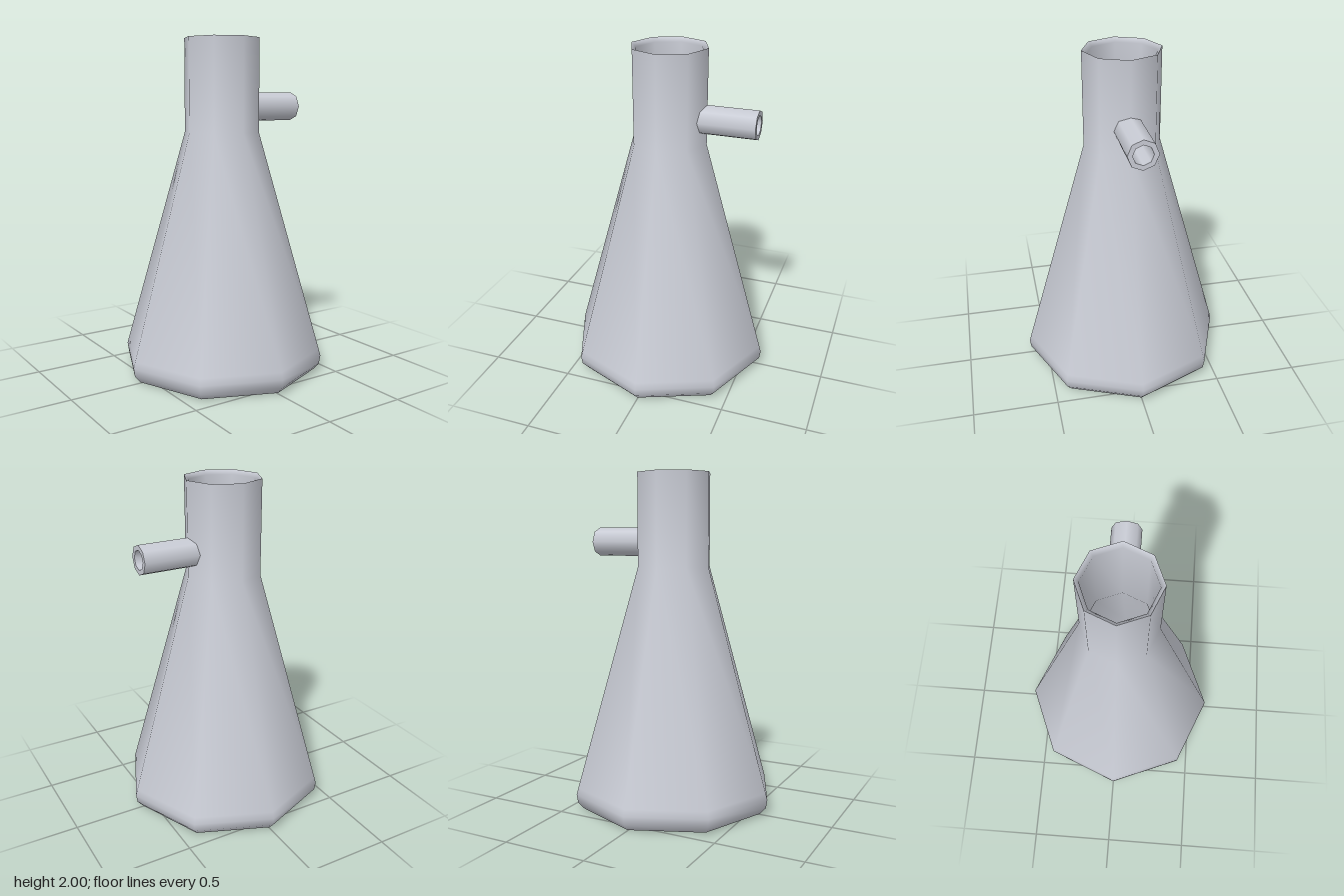
import * as THREE from 'three';
import { mergeGeometries } from 'three/addons/utils/BufferGeometryUtils.js';

const SIDES = 8;

// Revolves each profile smoothly; edges between profiles stay sharp.
function turned(...profiles) {
  return mergeGeometries(profiles.map((p) =>
    new THREE.LatheGeometry(p.map(([r, y]) => new THREE.Vector2(r, y)), SIDES)));
}

export function createModel() {
  const model = new THREE.Group();
  model.name = 'filterFlask';
  const glass = new THREE.MeshStandardMaterial({ color: 0xcacdd6 });
  glass.name = 'greyGlass';

  const add = (name, geometry) => {
    const mesh = new THREE.Mesh(geometry, glass);
    mesh.name = name;
    model.add(mesh);
  };

  // Outer wall: recessed underside, rounded foot, cone and neck
  add('outerWall', turned([
    [0, 0.1], [0.44, 0.1], [0.48, 0.03], [0.52, 0.005],
    [0.57, 0.01], [0.605, 0.05], [0.613, 0.1], [0.602, 0.14],
    [0.225, 1.45], [0.225, 2],
  ]));

  // Inner wall: bevelled mouth, neck, cone and floor
  add('innerWall', turned([
    [0.225, 2], [0.2, 1.975], [0.2, 1.45], [0.57, 0.16], [0.55, 0.13],
    [0.48, 0.125], [0, 0.125],
  ]));

  // Hollow side arm, its root cut to follow the faceted neck
  const arm = turned(
    [[0.086, 0], [0.086, 0.523]],
    [[0.086, 0.523], [0.057, 0.523]],
    [[0.057, 0.523], [0.057, 0]],
  );
  arm.rotateZ(-Math.PI / 2);
  const pos = arm.attributes.position;
  const slope = Math.tan(Math.PI / SIDES);
  for (let i = 0; i < pos.count; i++) {
    if (pos.getX(i) < 0.3) pos.setX(i, 0.215 - slope * Math.abs(pos.getZ(i)));
  }
  arm.translate(0, 1.597, 0);
  add('sideArm', arm);

  return model;
}
